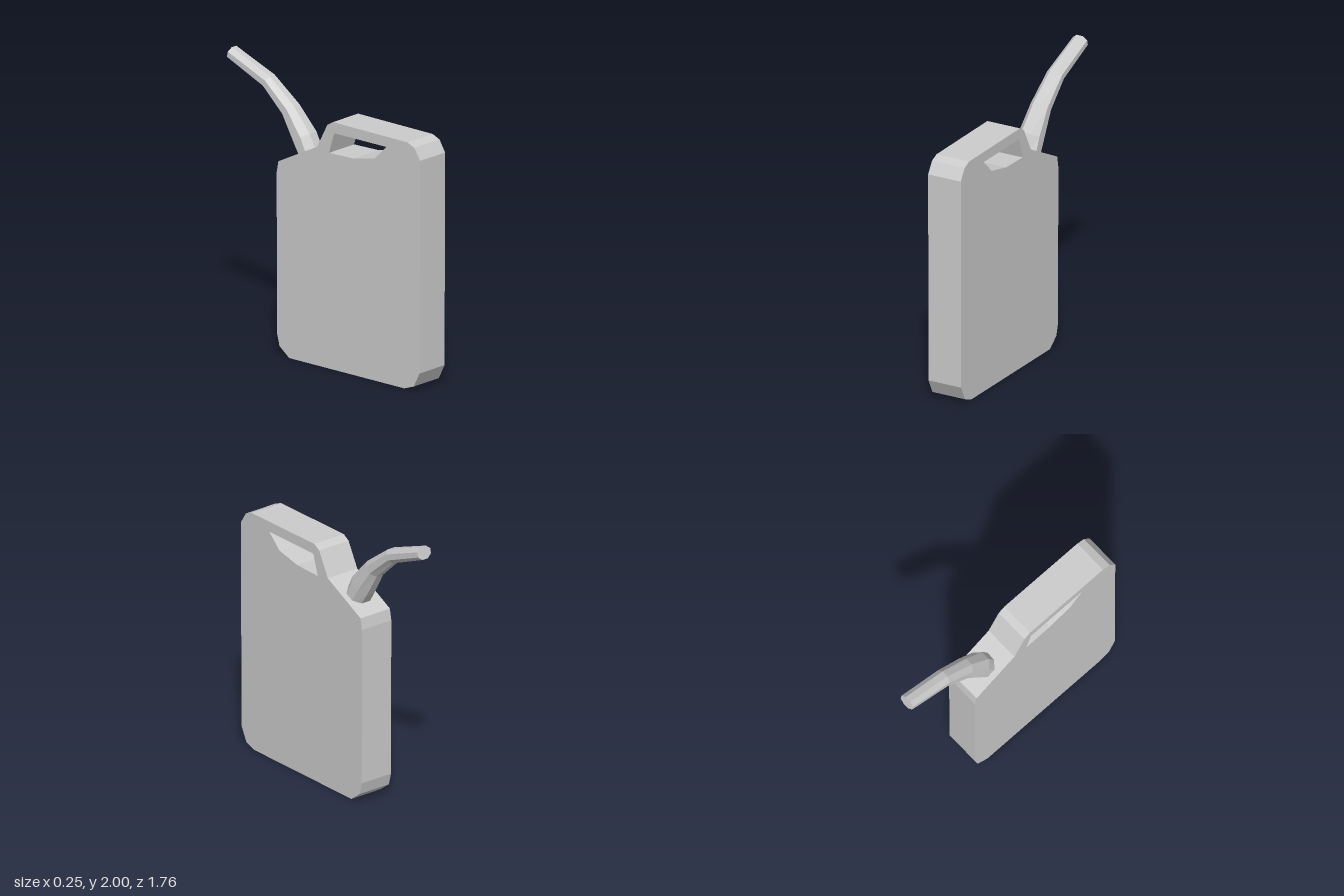
import * as THREE from 'three';

const material = new THREE.MeshStandardMaterial({ color: 0xcccccc, flatShading: true });
const toPoints = (list) => list.map(([z, y]) => new THREE.Vector2(z, y));

// Flat can body: side outline (z, y) with a handle opening, extruded across x
function createBody() {
  const width = 0.25;
  const outline = new THREE.Shape(toPoints([
    [-0.265, 0], [0.745, 0], [0.83, 0.03], [0.88, 0.13],
    [0.885, 1.6], [0.835, 1.68], [0.775, 1.705],
    [0.12, 1.71], [0.07, 1.68], [-0.02, 1.51],
    [-0.36, 1.34], [-0.375, 1.26], [-0.372, 0.15], [-0.35, 0.065],
  ]));
  outline.holes.push(new THREE.Path(toPoints([
    [0.59, 1.635], [0.13, 1.635], [0.085, 1.49], [0.3, 1.495], [0.485, 1.535],
  ])));
  const geometry = new THREE.ExtrudeGeometry(outline, { depth: width, bevelEnabled: false });
  geometry.rotateY(-Math.PI / 2).translate(width / 2, 0, 0);
  const body = new THREE.Mesh(geometry, material);
  body.name = 'canBody';
  return body;
}

// Bent, tapering eight-sided spout lofted through tilted rings
function createSpout() {
  const sides = 8;
  // Each ring: upper edge z, y, lower edge z, y, half width in x
  const rings = [
    [-0.09, 1.4, -0.235, 1.343, 0.085],
    [-0.165, 1.55, -0.31, 1.46, 0.08],
    [-0.31, 1.71, -0.41, 1.63, 0.066],
    [-0.525, 1.87, -0.575, 1.785, 0.058],
    [-0.86, 2.0, -0.88, 1.915, 0.055],
  ];
  const positions = [];
  const indices = [];
  const stretch = 1 / Math.cos(Math.PI / sides); // flats reach the ring edges
  rings.forEach(([zTop, yTop, zLow, yLow, halfX], r) => {
    for (let i = 0; i < sides; i++) {
      const angle = ((i + 0.5) / sides) * Math.PI * 2;
      const up = (Math.cos(angle) * stretch) / 2;
      positions.push(
        Math.sin(angle) * stretch * halfX,
        (yTop + yLow) / 2 + (yTop - yLow) * up,
        (zTop + zLow) / 2 + (zTop - zLow) * up,
      );
      if (r === rings.length - 1) continue;
      const a = r * sides + i;
      const b = r * sides + ((i + 1) % sides);
      indices.push(a, b, b + sides, a, b + sides, a + sides);
    }
  });
  // End caps
  const last = (rings.length - 1) * sides;
  for (let i = 1; i < sides - 1; i++) {
    indices.push(last, last + i, last + i + 1, 0, i + 1, i);
  }
  const geometry = new THREE.BufferGeometry();
  geometry.setAttribute('position', new THREE.Float32BufferAttribute(positions, 3));
  geometry.setIndex(indices);
  geometry.computeVertexNormals();
  const spout = new THREE.Mesh(geometry, material);
  spout.name = 'spout';
  return spout;
}

export function createModel() {
  const model = new THREE.Group();
  model.name = 'fuelCan';
  model.add(createBody(), createSpout());
  return model;
}
